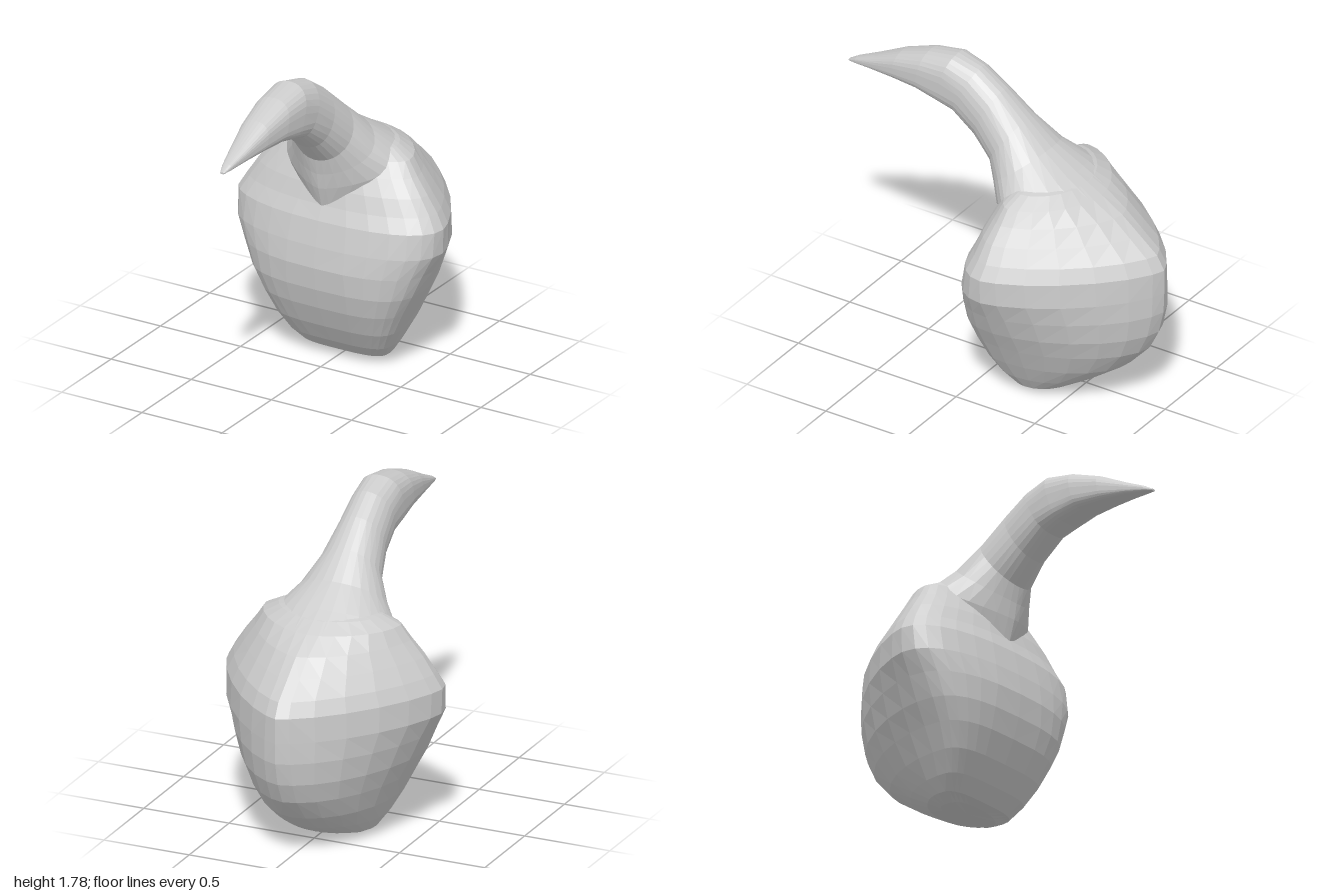
import * as THREE from 'three';

const SIDES = 28;
const material = new THREE.MeshStandardMaterial({ color: 0xcccccc, flatShading: true });

// Signed power, for superelliptic cross-sections
const spow = (v, e) => Math.sign(v) * Math.pow(Math.abs(v), e);

// Skin a stack of rings and close both ends
function loft(name, rings) {
  const pos = [], index = [];
  const add = (p) => pos.push(p.x, p.y, p.z) / 3 - 1;
  rings.forEach((ring) => ring.forEach(add));
  const centre = (ring) => ring.reduce((s, p) => s.add(p), new THREE.Vector3()).divideScalar(SIDES);
  const last = rings.length - 1;
  const start = add(centre(rings[0])), end = add(centre(rings[last]));
  for (let j = 0; j < SIDES; j++) {
    const k = (j + 1) % SIDES;
    for (let i = 0; i < last; i++) {
      const a = i * SIDES + j, b = i * SIDES + k, c = b + SIDES, d = a + SIDES;
      // mirror the diagonals left to right
      if (j < SIDES / 2) index.push(a, b, c, a, c, d);
      else index.push(a, b, d, b, c, d);
    }
    index.push(start, k, j, end, last * SIDES + j, last * SIDES + k);
  }
  const geometry = new THREE.BufferGeometry();
  geometry.setAttribute('position', new THREE.Float32BufferAttribute(pos, 3));
  geometry.setIndex(index);
  geometry.computeVertexNormals();
  const mesh = new THREE.Mesh(geometry, material);
  mesh.name = name;
  return mesh;
}

const makeRing = (fn) => Array.from({ length: SIDES }, (_, j) => fn((j / SIDES) * Math.PI * 2));

// Body levels: y, half width, front z, widest z, back z,
// front and back roundness (2 = ellipse, more = boxy, less = pointed)
const bodyLevels = [
  [0.00, 0.19, -0.23, -0.30, -0.40, 3.0, 2.0],
  [0.035, 0.26, -0.18, -0.28, -0.49, 3.2, 2.0],
  [0.11, 0.31, -0.11, -0.25, -0.62, 3.5, 2.0],
  [0.22, 0.37, -0.04, -0.23, -0.78, 3.5, 1.85],
  [0.35, 0.435, 0.02, -0.23, -0.90, 3.3, 1.7],
  [0.47, 0.50, 0.055, -0.23, -0.96, 3.0, 1.6],
  [0.60, 0.56, 0.07, -0.23, -0.99, 2.6, 1.5],
  [0.72, 0.62, 0.055, -0.23, -0.995, 2.4, 1.4],
  [0.86, 0.625, 0.025, -0.23, -0.995, 2.3, 1.35],
  [0.94, 0.58, -0.01, -0.24, -0.95, 2.2, 1.35],
  [1.03, 0.52, -0.04, -0.24, -0.84, 2.1, 1.4],
  [1.12, 0.45, -0.08, -0.25, -0.73, 2.0, 1.5],
  [1.20, 0.395, -0.13, -0.26, -0.60, 2.0, 1.7],
  [1.25, 0.30, -0.17, -0.28, -0.51, 2.0, 1.8],
  [1.28, 0.18, -0.22, -0.30, -0.42, 2.0, 2.0],
];

// Neck and beak sections: top z, top y, underside z, underside y, half width,
// underside shape (above 1 = keeled, below 1 = flat)
const neckSections = [
  [-0.74, 1.08, -0.12, 0.82, 0.36, 1.5],
  [-0.58, 1.21, -0.01, 0.93, 0.37, 1.5],
  [-0.44, 1.29, 0.025, 1.05, 0.34, 1.4],
  [-0.28, 1.39, 0.04, 1.14, 0.245, 1.2],
  [-0.13, 1.52, 0.06, 1.23, 0.175, 1],
  [0.02, 1.65, 0.17, 1.35, 0.14, 0.9],
  [0.16, 1.745, 0.30, 1.46, 0.128, 0.7],
  [0.31, 1.785, 0.40, 1.495, 0.125, 0.55],
  [0.48, 1.755, 0.53, 1.525, 0.115, 0.55],
  [0.66, 1.69, 0.69, 1.53, 0.09, 0.55],
  [0.83, 1.605, 0.84, 1.525, 0.057, 0.55],
  [0.95, 1.55, 0.95, 1.515, 0.03, 0.55],
  [1.00, 1.52, 1.00, 1.51, 0.012, 0.55],
];

export function createModel() {
  const group = new THREE.Group();
  group.name = 'birdShapedVessel';

  // Heart-shaped body: full chest, tapering back, shallow hollow between two lobes underneath
  group.add(loft('body', bodyLevels.map(([y, w, front, mid, back, pFront, pBack], i) => makeRing((t) => {
    const s = Math.sin(t), c = Math.cos(t);
    const e = 2 / (c > 0 ? pFront : pBack);
    return new THREE.Vector3(
      w * spow(s, e),
      y + (i === 0 ? 0.02 * c * c : 0),
      mid + spow(c, e) * (c > 0 ? front - mid : mid - back),
    );
  }))));

  // Neck flaring out of the shoulders and sweeping into a pointed, flat-bottomed beak
  group.add(loft('neckAndBeak', neckSections.map(([tz, ty, bz, by, w, under]) => makeRing((t) => {
    const s = Math.sin(t), c = Math.cos(t);
    const e = c > 0 ? under : Math.min(1, under + 0.3);
    const h = spow(c, e);
    return new THREE.Vector3(
      w * spow(s, e),
      (ty + by) / 2 - h * (ty - by) / 2,
      (tz + bz) / 2 - h * (tz - bz) / 2,
    );
  }))));

  return group;
}
